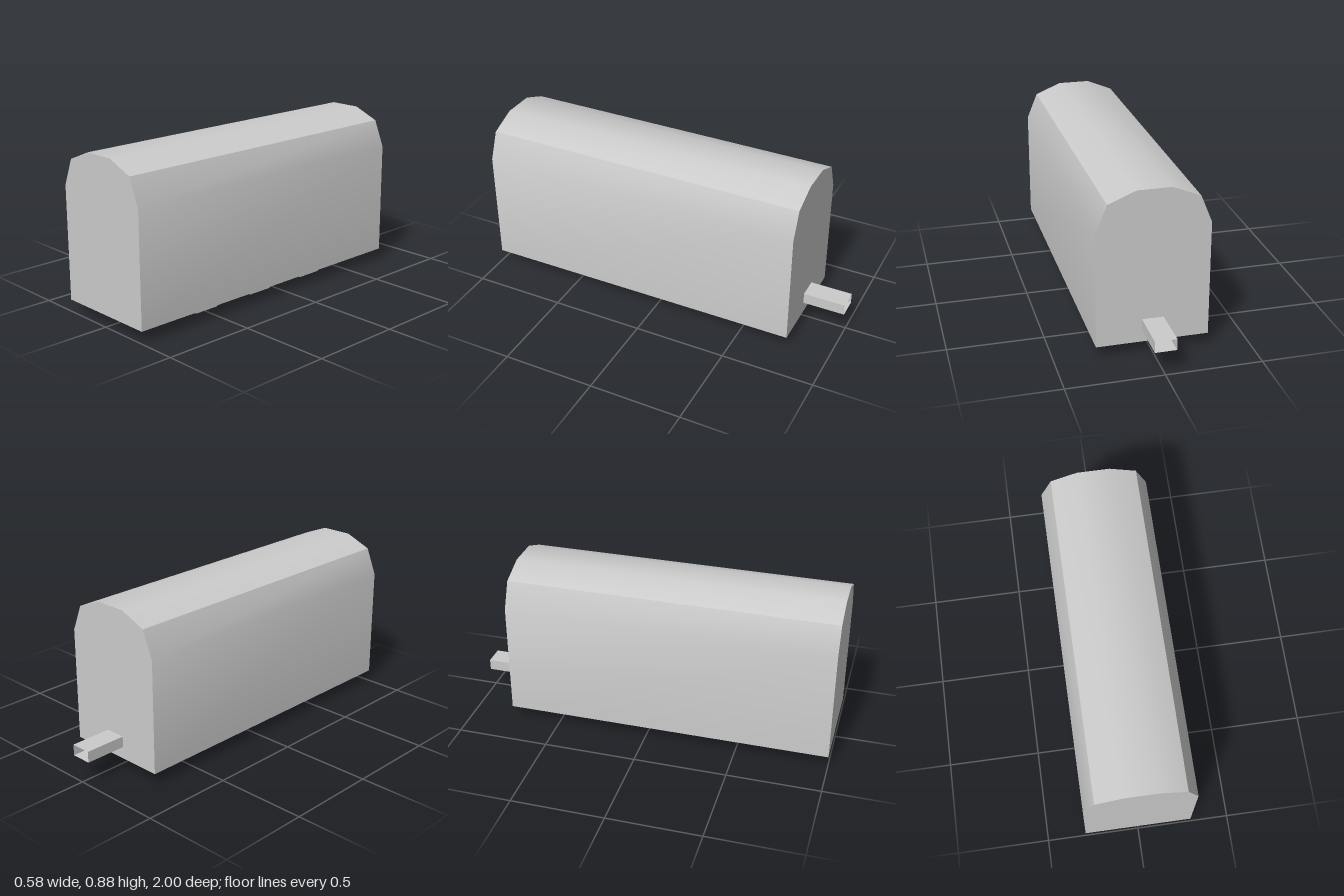
import * as THREE from 'three';
import { toCreasedNormals } from 'three/addons/utils/BufferGeometryUtils.js';

const material = new THREE.MeshStandardMaterial({ color: 0xcccccc });
const openMaterial = new THREE.MeshStandardMaterial({ color: 0xcccccc, side: THREE.DoubleSide });

// Solid prism along z from an outline in the xy plane, centred on z = 0
function prism(points, depth) {
  const shape = new THREE.Shape(points.map(([x, y]) => new THREE.Vector2(x, y)));
  return new THREE.ExtrudeGeometry(shape, { depth, bevelEnabled: false }).translate(0, 0, -depth / 2);
}

export function createModel() {
  const model = new THREE.Group();
  model.name = 'railCar';

  const add = (name, geometry, mat = material) => {
    const mesh = new THREE.Mesh(geometry, mat);
    mesh.name = name;
    model.add(mesh);
    return mesh;
  };

  // Car body with a faceted arched roof, softly shaded except at the eaves
  const half = [[0.291, 0.065], [0.291, 0.68], [0.232, 0.824], [0.088, 0.883]];
  const mirrored = half.map(([x, y]) => [-x, y]).reverse();
  const body = add('body', toCreasedNormals(prism([...half, ...mirrored], 1.772), Math.PI / 6));
  body.position.z = 0.114;

  // Three tapered wheel blocks under the floor
  const wheelOutline = [[-0.073, 0], [0.073, 0], [0.137, 0.065], [-0.137, 0.065]];
  [0.487, 0.1, -0.29].forEach((z, i) => {
    const wheel = add(`wheelBlock${i + 1}`, prism(wheelOutline, 0.362).rotateY(Math.PI / 2));
    wheel.position.z = z;
  });

  // Thin hollow coupler, open at the rear end
  const coupler = new THREE.BoxGeometry(0.112, 0.06, 0.228);
  const [front, back] = [4, 5].map((g) => coupler.groups[g]);
  const sides = Array.from(coupler.index.array).slice(0, Math.min(front.start, back.start));
  coupler.setIndex(sides);
  coupler.clearGroups();
  add('coupler', coupler, openMaterial).position.set(0, 0.161, -0.886);

  return model;
}
